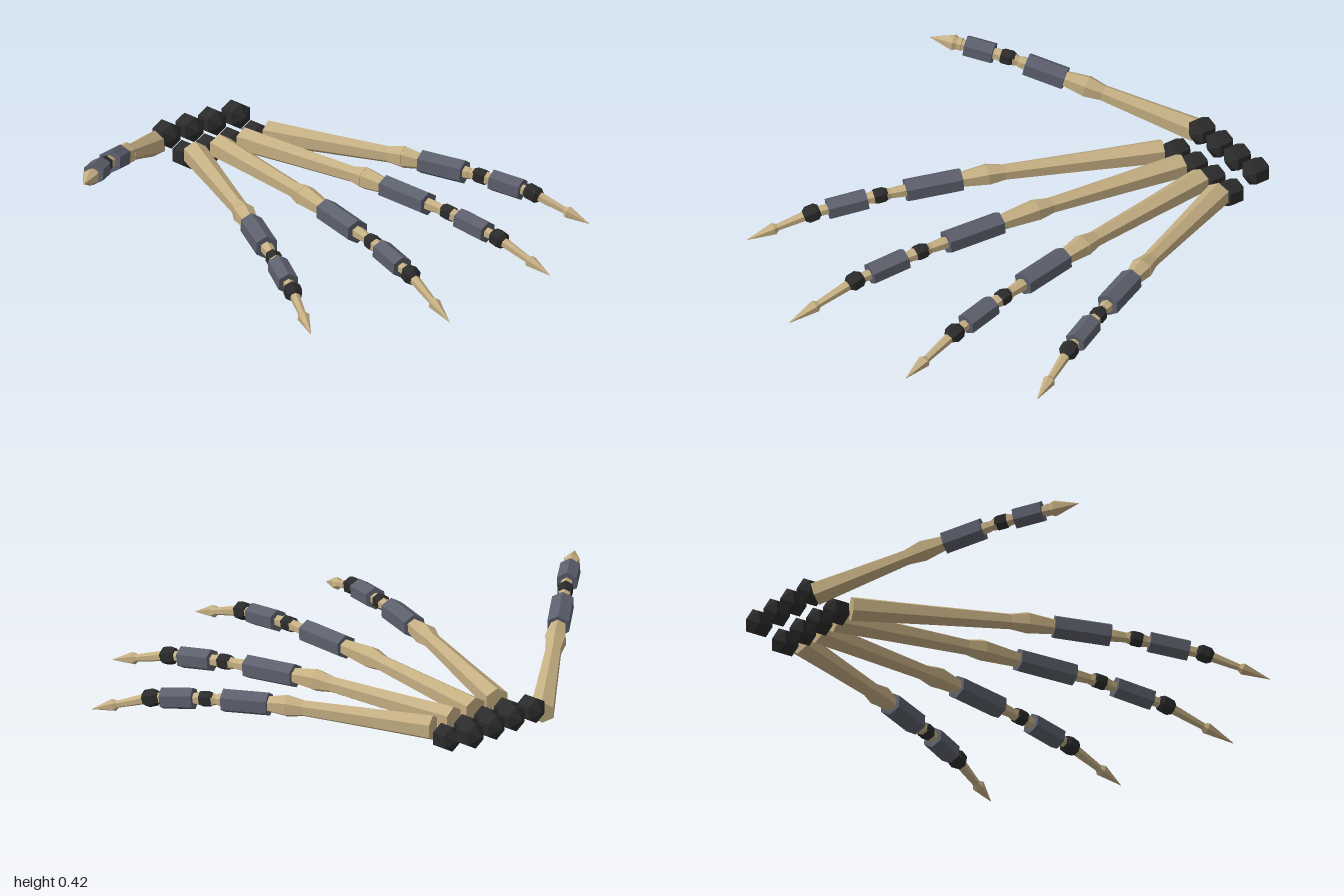
import * as THREE from 'three';

const material = (name, color) => {
  const m = new THREE.MeshStandardMaterial({ color, flatShading: true });
  m.name = name;
  return m;
};

export function createModel() {
  const bone = material('bone tan', 0xc4ae82);
  const steel = material('slate grey', 0x5c5f6c);
  const dark = material('charcoal', 0x2b2b2b);
  const hand = new THREE.Group();
  hand.name = 'skeletalHand';

  // Six-sided turned part: profile is [radius, distance along a->b], ridge facing up
  function turned(parent, name, mat, profile, a, b) {
    const dir = b.clone().sub(a).normalize();
    const side = dir.clone().cross(new THREE.Vector3(0, 1, 0)).normalize();
    const up = side.clone().cross(dir);
    const pts = [[0, profile[0][1]], ...profile, [0, profile[profile.length - 1][1]]];
    const geo = new THREE.LatheGeometry(pts.map(p => new THREE.Vector2(p[0], p[1])), 6);
    geo.applyMatrix4(new THREE.Matrix4().makeBasis(side, dir, up).setPosition(a));
    const mesh = new THREE.Mesh(geo, mat);
    mesh.name = name;
    parent.add(mesh);
  }

  // Wrist: two columns of faceted bones
  const wrist = new THREE.Group();
  wrist.name = 'wristBones';
  hand.add(wrist);
  for (const [x, y] of [[-0.935, 0.195], [-0.81, 0.145]]) {
    for (const z of [-0.36, -0.24, -0.125, -0.01]) {
      const c = new THREE.Vector3(x, y, z);
      turned(wrist, 'wristBone', dark, [[0.053, -0.031], [0.053, 0.031]].flatMap(
        (p, i) => (i ? [p, [0.004, 0.061]] : [[0.004, -0.061], p])), c, c.clone().setX(x + 1));
    }
  }

  // s: distances in plan of knuckle, sleeve 1 ends, joint, sleeve 2 ends, last joint, claw base, tip
  // y: heights of base, knuckle, joint, last joint, tip
  const fingers = [
    { name: 'littleFinger', base: [-0.745, -0.37], tip: [0.57, -0.93],
      s: [0.61, 0.685, 0.876, 0.95, 1.0, 1.133, 1.18, 1.336], y: [0.17, 0.175, 0.155, 0.125, 0.04] },
    { name: 'ringFinger', base: [-0.745, -0.25], tip: [0.88, -0.48],
      s: [0.657, 0.76, 0.988, 1.1, 1.16, 1.306, 1.368, 1.538], y: [0.17, 0.175, 0.145, 0.105, 0.02] },
    { name: 'middleFinger', base: [-0.745, -0.125], tip: [1.0, 0.125],
      s: [0.657, 0.814, 1.057, 1.173, 1.24, 1.4, 1.465, 1.645], y: [0.17, 0.175, 0.147, 0.105, 0.002] },
    { name: 'indexFinger', base: [-0.745, 0.0], tip: [0.8, 0.665],
      s: [0.71, 0.814, 1.04, 1.145, 1.198, 1.355, 1.42, 1.573], y: [0.17, 0.175, 0.145, 0.105, 0.02] },
    { name: 'thumb', base: [-0.945, 0.045], tip: [-0.297, 0.925], thumb: true,
      s: [0.45, 0.536, 0.696, 0.775, 0.83, 0.945, 0.96, 0.995], y: [0.165, 0.285, 0.36, 0.383, 0.393] },
  ];

  for (const f of fingers) {
    const group = new THREE.Group();
    group.name = f.name;
    hand.add(group);
    const dx = f.tip[0] - f.base[0], dz = f.tip[1] - f.base[1];
    const total = Math.hypot(dx, dz);
    const [knuckle, a1, b1, joint, a2, b2, last, claw] = f.s;
    const stops = [0, knuckle, joint, last, total];
    const P = stops.map((s, i) =>
      new THREE.Vector3(f.base[0] + dx * s / total, f.y[i], f.base[1] + dz * s / total));

    // Place a profile given in plan distances on one segment of the finger
    const part = (i, name, mat, profile) => {
      const stretch = P[i].distanceTo(P[i + 1]) / (stops[i + 1] - stops[i]);
      turned(group, name, mat, profile.map(([r, s]) => [r, (s - stops[i]) * stretch]), P[i], P[i + 1]);
    };

    part(0, 'palmBone', bone, [[0.052, 0], [0.043, knuckle * 0.4], [0.034, knuckle - 0.07], [0.047, knuckle]]);
    part(1, 'firstBone', bone, [[0.046, knuckle - 0.002], [0.033, a1], [0.026, b1 + 0.02], [0.022, joint - 0.045], [0.031, joint - 0.012]]);
    part(1, 'firstSleeve', steel, [[0.049, a1], [0.049, b1]]);
    part(2, 'middleBone', bone, [[0.031, joint + 0.012], [0.024, joint + 0.045], [0.022, last]]);
    part(2, 'middleSleeve', steel, [[0.045, a2], [0.045, b2]]);
    // Dark joint between the two flared bone ends
    part(2, 'middleJoint', dark, [[0.024, joint - 0.032], [0.033, joint - 0.016], [0.033, joint + 0.016], [0.024, joint + 0.032]]);
    if (!f.thumb) {
      part(3, 'endJoint', dark, [[0.024, last - 0.032], [0.037, last - 0.017], [0.037, last + 0.017], [0.024, last + 0.032]]);
    }
    // Last bone ending in a pointed claw
    part(3, 'clawBone', bone, [
      [f.thumb ? 0.028 : 0.023, last], [f.thumb ? 0.027 : 0.015, claw - 0.015],
      [f.thumb ? 0.035 : 0.026, claw], [0.001, total],
    ]);
  }
  return hand;
}
